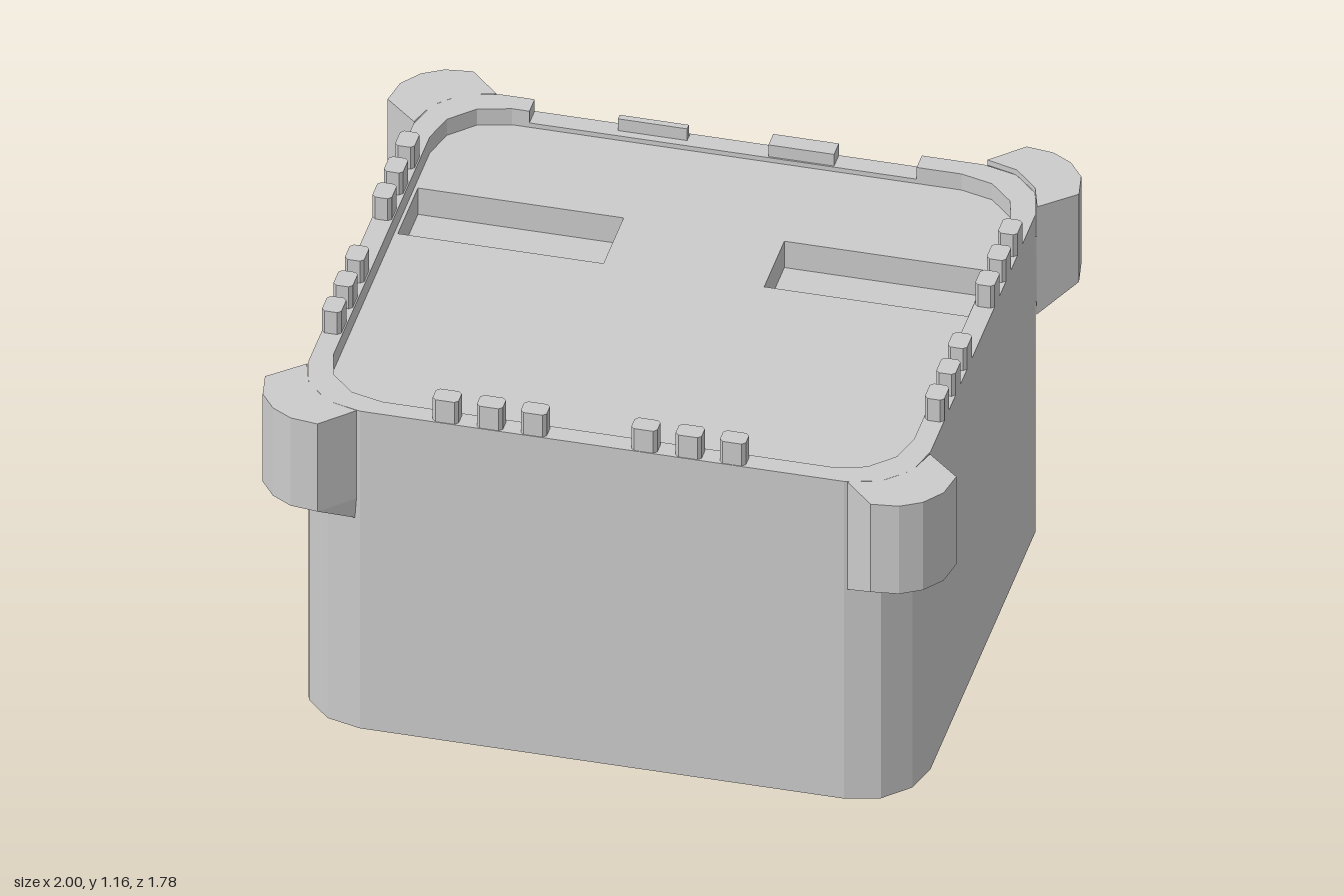
import * as THREE from 'three';
import { mergeGeometries } from 'three/addons/utils/BufferGeometryUtils.js';

const material = new THREE.MeshStandardMaterial({ color: 0xcccccc, flatShading: true, side: THREE.DoubleSide });

// Heights
const LEDGE = 1.045, RIM = 1.085, FLOOR = 1.03, POCKET = 0.94;

// Strip of quads between two matching rings of [x, y, z]
function loft(lower, upper, closed = true) {
  const pos = [], n = lower.length;
  for (let i = 0; i < (closed ? n : n - 1); i++) {
    const j = (i + 1) % n;
    pos.push(...lower[i], ...upper[i], ...lower[j], ...lower[j], ...upper[i], ...upper[j]);
  }
  const g = new THREE.BufferGeometry();
  g.setAttribute('position', new THREE.Float32BufferAttribute(pos, 3));
  g.computeVertexNormals();
  return g;
}

const at = (points, y) => points.map(([x, z]) => [x, y, z]);
const wall = (points, y0, y1, closed = true) => loft(at(points, y0), at(points, y1), closed);

// Flat horizontal face from [x, z] points
function plate(points, y, holes = []) {
  const toV = (list) => list.map(([x, z]) => new THREE.Vector2(x, -z));
  const shape = new THREE.Shape(toV(points));
  shape.holes = holes.map((h) => new THREE.Path(toV(h)));
  const g = new THREE.ShapeGeometry(shape).toNonIndexed();
  g.deleteAttribute('uv');
  return g.rotateX(-Math.PI / 2).translate(0, y, 0);
}

const block = (points, y0, y1) => [wall(points, y0, y1), plate(points, y1)];

const rect = (x0, x1, z0, z1) => [[x0, z0], [x1, z0], [x1, z1], [x0, z1]];

// Rounded rectangle that starts and ends on the back edge
function roundedRect(hx, hz, r, seg = 3) {
  const pts = [];
  [[1, -1], [1, 1], [-1, 1], [-1, -1]].forEach(([sx, sz], k) => {
    for (let i = 0; i <= seg; i++) {
      const a = (k - 1 + i / seg) * Math.PI / 2;
      pts.push([sx * (hx - r) + r * Math.cos(a), sz * (hz - r) + r * Math.sin(a)]);
    }
  });
  return pts;
}

export function createModel() {
  const group = new THREE.Group();
  const add = (name, geometries) => {
    const mesh = new THREE.Mesh(mergeGeometries(geometries), material);
    mesh.name = name;
    group.add(mesh);
  };

  const outer = roundedRect(0.9, 0.8, 0.2);
  const inner = roundedRect(0.84, 0.74, 0.19);

  // Open-bottomed hull
  add('hullWall', [wall(outer, 0, LEDGE)]);

  // Raised rim, interrupted along the back
  const rim = [[0.52, -0.8], ...outer, [-0.6, -0.8], [-0.6, -0.74], ...[...inner].reverse(), [0.52, -0.74]];
  add('rim', [wall(rim, LEDGE, RIM), plate(rim, RIM), wall(inner, FLOOR, LEDGE)]);

  // Low back ledge with a slot behind one tab
  add('backLedge', [
    plate(rect(-0.15, 0.52, -0.8, -0.74), LEDGE),
    plate(rect(-0.6, -0.35, -0.8, -0.74), LEDGE),
    plate(rect(-0.35, -0.15, -0.77, -0.74), LEDGE),
  ]);
  add('backTabs', [
    ...block(rect(0.09, 0.28, -0.8, -0.745), LEDGE, RIM),
    ...block(rect(-0.35, -0.15, -0.785, -0.765), LEDGE, RIM),
  ]);

  // Deck with two sunken pockets
  const pockets = [rect(-0.83, -0.235, -0.375, -0.145), rect(0.23, 0.82, -0.375, -0.145)];
  add('deck', [plate(inner, FLOOR, pockets)]);
  add('pockets', pockets.flatMap((p) => [wall(p, POCKET, FLOOR), plate(p, POCKET)]));

  // Battlement teeth with clipped corners
  const tooth = (x, z, w, d) => {
    const c = 0.01, a = w / 2, b = d / 2;
    const pts = [[a - c, -b], [a, -b + c], [a, b - c], [a - c, b], [c - a, b], [-a, b - c], [-a, c - b], [c - a, -b]];
    return block(pts.map(([px, pz]) => [x + px, z + pz]), RIM, 1.16);
  };
  add('frontTeeth', [-0.455, -0.327, -0.2, 0.12, 0.248, 0.376].flatMap((x) => tooth(x, 0.77, 0.075, 0.056)));
  const sideZ = [-0.42, -0.29, -0.16, 0.155, 0.285, 0.415];
  for (const s of [-1, 1]) {
    add(s > 0 ? 'leftTeeth' : 'rightTeeth', sideZ.flatMap((z) => tooth(s * 0.872, z, 0.056, 0.075)));
  }

  // Corner turrets, tapering into the hull below
  const turretOuter = [[0.9, 0.61], [1, 0.7], [0.985, 0.785], [0.94, 0.845], [0.88, 0.88], [0.8, 0.89], [0.71, 0.8]];
  const turretInner = [[0.9, 0.61], [0.9, 0.615], [0.873, 0.7], [0.837, 0.737], [0.8, 0.773], [0.715, 0.798], [0.71, 0.8]];
  for (const sx of [-1, 1]) for (const sz of [-1, 1]) {
    const place = (pts) => {
      const out = pts.map(([x, z]) => [x * sx, z * sz]);
      return sx * sz < 0 ? out.reverse() : out;
    };
    const o = place(turretOuter), n = place(turretInner);
    const lift = sx > 0 && sz < 0 ? 0.018 : 0; // one turret sits slightly higher
    add((sz > 0 ? 'front' : 'back') + (sx > 0 ? 'Left' : 'Right') + 'Turret', [
      wall(o, 0.785 + lift, RIM + lift, false),
      loft(at(n, 0.717 + lift), at(o, 0.785 + lift), false),
      plate([...o, ...[...n].reverse().slice(1, -1)], RIM + lift),
      ...(lift ? [wall(n, RIM, RIM + lift, false)] : []),
    ]);
  }

  return group;
}
